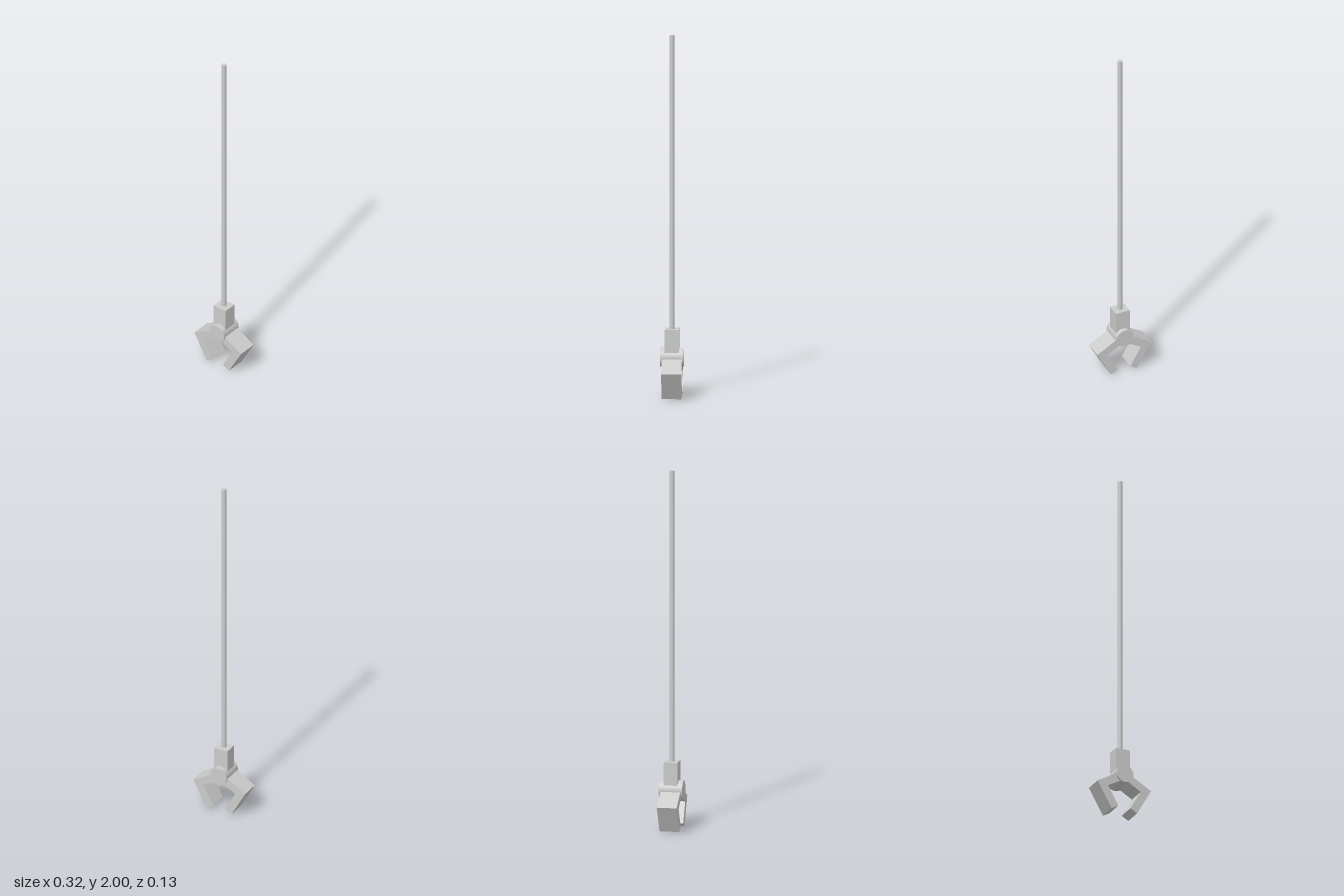
import * as THREE from 'three';

const DRUM_Y = 0.22;

export function createModel() {
  const group = new THREE.Group();
  const material = new THREE.MeshStandardMaterial({ color: 0xcccccc });

  function add(name, geometry, y = 0) {
    const mesh = new THREE.Mesh(geometry, material);
    mesh.name = name;
    mesh.position.y = y;
    group.add(mesh);
    return mesh;
  }

  // Long rod rising from the wrist block
  add('rod', new THREE.CylinderGeometry(0.0135, 0.0135, 1.64, 32), 1.18);

  // Wrist block, running down into the drum
  add('wristBlock', new THREE.BoxGeometry(0.084, 0.157, 0.077), 0.2985);

  // Pivot drum, lying front to back
  add('pivotDrum', new THREE.CylinderGeometry(0.051, 0.051, 0.13, 48).rotateX(Math.PI / 2), DRUM_Y);

  // Mirrored L-shaped jaws: upper arm slopes out from the drum, lower arm turns back in
  for (const side of [1, -1]) {
    const outline = [
      [0.02, 0.232], [-0.003, 0.192], [0.099, 0.133],
      [0.037, 0.023], [0.077, 0], [0.162, 0.15],
    ].map(([x, y]) => new THREE.Vector2(side * x, y));
    const jaw = new THREE.ExtrudeGeometry(new THREE.Shape(outline), { depth: 0.11, bevelEnabled: false });
    jaw.translate(0, 0, -0.055);
    add(side > 0 ? 'leftJaw' : 'rightJaw', jaw);
  }

  return group;
}
